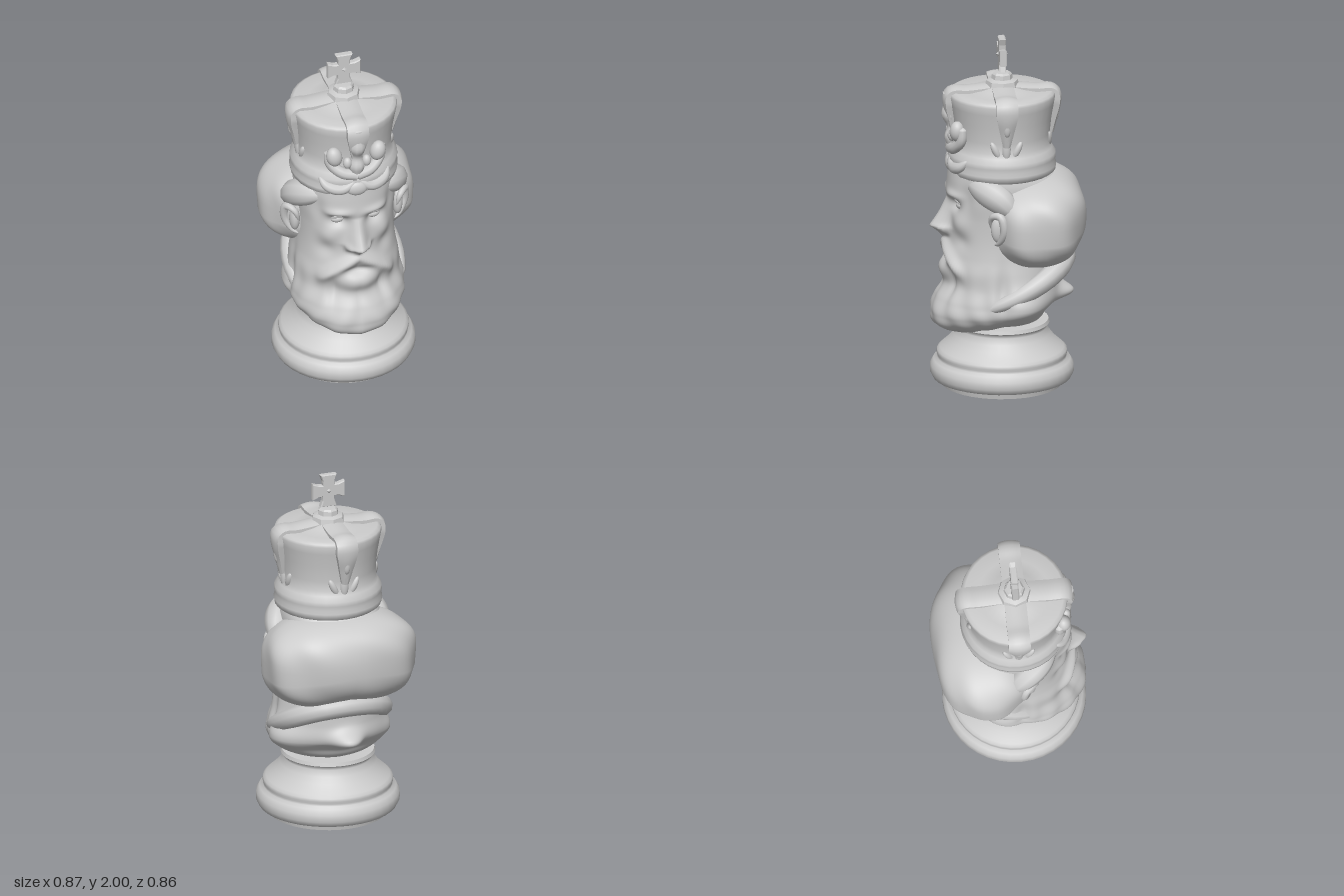
import * as THREE from 'three';
import { mergeVertices, toCreasedNormals } from 'three/addons/utils/BufferGeometryUtils.js';

const mat = new THREE.MeshStandardMaterial({ color: 0xcccccc });
const { sin, cos, abs, PI, pow, exp, min, max, sign } = Math;
const v = (x, y, z) => new THREE.Vector3(x, y, z);

function add(parent, name, geo) {
  const m = new THREE.Mesh(geo, mat);
  m.name = name;
  parent.add(m);
  return m;
}

// Move every vertex by a rule, then weld and smooth
function shape(geo, rule) {
  const p = geo.attributes.position, q = v(0, 0, 0);
  for (let i = 0; i < p.count; i++) {
    rule(q.fromBufferAttribute(p, i), i);
    p.setXYZ(i, q.x, q.y, q.z);
  }
  geo.deleteAttribute('uv');
  geo.deleteAttribute('normal');
  geo = mergeVertices(geo, 1e-5);
  geo.computeVertexNormals();
  return geo;
}

const lathe = (pts, seg, crease) => toCreasedNormals(
  new THREE.LatheGeometry(pts.map(([r, y]) => new THREE.Vector2(r, y)), seg), crease);

// Tube that swells and tapers along its path
function lock(pts, r, profile = (u) => pow(sin(PI * u), 0.6)) {
  const n = 24, m = 10, curve = new THREE.CatmullRomCurve3(pts.map((p) => v(...p)));
  return shape(new THREE.TubeGeometry(curve, n, r, m), (q, i) => {
    const u = Math.floor(i / (m + 1)) / n, c = curve.getPointAt(u);
    q.sub(c).multiplyScalar(max(0.002, profile(u))).add(c);
  });
}

function blob(parent, name, [x, y, z], [a, b, c], tilt = 0) {
  const m = add(parent, name, new THREE.SphereGeometry(1, 20, 14));
  m.position.set(x, y, z);
  m.scale.set(a, b, c);
  m.rotation.z = tilt;
}

// Head sections: height, then front, side and back reach
const rows = [
  [0.315, 0.27, 0.16, 0.17], [0.345, 0.36, 0.24, 0.21], [0.43, 0.4, 0.32, 0.25],
  [0.52, 0.37, 0.325, 0.31], [0.61, 0.315, 0.31, 0.31], [0.7, 0.325, 0.3, 0.31],
  [0.78, 0.31, 0.285, 0.32], [0.88, 0.3, 0.275, 0.34], [1.0, 0.295, 0.275, 0.36],
  [1.1, 0.31, 0.28, 0.36], [1.2, 0.305, 0.28, 0.32], [1.26, 0.3, 0.27, 0.25],
];
const sections = new THREE.CubicInterpolant(
  rows.map((r) => r[0]), rows.flatMap((r) => r.slice(1)), 3, new Float32Array(3));

const bump = (a, y, a0, y0, sa, sy) => exp(-(((a - a0) / sa) ** 2) - ((y - y0) / sy) ** 2);

function headRadius(t, y) {
  const [front, side, back] = sections.evaluate(y);
  const n = 2.1, a = abs(t), c = cos(t);
  let r = pow(pow(abs(sin(t)) / side, n) + pow(abs(c) / (c > 0 ? front : back), n), -1 / n);
  // Sockets, brows, cheeks
  r += -0.045 * bump(a, y, 0.36, 1.07, 0.18, 0.04) + 0.02 * bump(a, y, 0.36, 1.125, 0.22, 0.025);
  r += 0.018 * bump(a, y, 0.55, 0.97, 0.2, 0.06) - 0.015 * bump(a, y, 0.6, 0.87, 0.2, 0.05);
  r -= 0.015 * bump(a, y, 0.75, 1.12, 0.15, 0.08);
  // Nose: ramps out from the bridge and cuts in below the tip
  const ramp = y > 0.92 ? max(0, 1 - (y - 0.92) / 0.17) : max(0, 1 - (0.92 - y) / 0.065);
  r += 0.11 * ramp * exp(-((a / (0.1 + 0.07 * ramp)) ** 2));
  r += 0.03 * bump(a, y, 0.17, 0.905, 0.06, 0.025);
  // Moustache sweeping down to both sides
  r += 0.036 * exp(-(((y - 0.835 + 0.2 * a) / 0.042) ** 2)) * min(1, max(0, (0.8 - a) / 0.3));
  // Mouth and rounded chin tuft
  r += -0.022 * bump(a, y, 0, 0.745, 0.22, 0.025) + 0.03 * bump(a, y, 0, 0.665, 0.32, 0.06);
  // Soft beard strands, parted beside the chin
  const beard = max(0, min(1, (0.75 - y) / 0.15)) * max(0, min(1, (1.5 - a) / 0.3));
  r += beard * 0.004 * sin(a * 15 + y * 9 + sin(y * 14));
  r -= 0.02 * bump(a, y, 0.45, 0.62, 0.09, 0.1);
  // Gap between beard and coat, shoulder and coat folds
  r -= 0.025 * bump(a, y, 1.5, 0.57, 0.12, 0.15);
  r += 0.05 * bump(t, y, 1.85, 0.52, 0.4, 0.1) + 0.02 * bump(t, y, -1.95, 0.5, 0.3, 0.07);
  r += 0.09 * bump(a, y, PI, 0.52, 0.25, 0.055);
  return r;
}

// The lower edge rises from the beard tip to the neck
const edgeLift = (t) => 0.055 * min(1, 1 - cos(t));

function buildHead(g) {
  add(g, 'headAndBeard', shape(new THREE.CylinderGeometry(1, 1, 1, 128, 110, true), (q) => {
    const t = Math.atan2(q.x, q.z), k = q.y + 0.5;
    const y = 0.315 + 0.945 * k, r = headRadius(t, y);
    q.set(r * sin(t), y + edgeLift(t) * max(0, 1 - k * 5), r * cos(t));
  }));
  add(g, 'beardUnderside', shape(new THREE.CircleGeometry(1, 128).rotateX(PI / 2), (q) => {
    const t = Math.atan2(q.x, q.z), d = Math.hypot(q.x, q.z), r = d * headRadius(t, 0.315);
    q.set(r * sin(t), 0.315 + (d > 0.5 ? edgeLift(t) : 0.03), r * cos(t));
  }));

  // Thick mass of hair around the back and sides, hanging lower beside the ears
  const pw = (c, e) => sign(c) * pow(abs(c), e);
  add(g, 'hair', shape(new THREE.SphereGeometry(1, 64, 44), (q) => {
    const t = Math.atan2(q.x, q.z), w = 1 + 0.02 * sin(t * 7 + q.y * 4) * (1 - q.y * q.y);
    const taper = q.y < 0 ? 1 + 0.1 * q.y : 1;
    const droop = q.y < 0 ? 0.05 * abs(q.x) : 0;
    q.set(0.435 * pw(q.x, 0.85) * w * taper, 0.985 + 0.255 * pw(q.y, 0.72) - droop,
      -0.175 + 0.285 * pw(q.z, 0.85) * w * taper);
  }));

  for (const s of [-1, 1]) {
    blob(g, 'eyeball', [s * 0.1, 1.068, 0.237], [0.042, 0.026, 0.03]);
    add(g, 'upperEyelid', lock([[s * 0.045, 1.065, 0.25], [s * 0.1, 1.094, 0.26],
      [s * 0.155, 1.063, 0.222]], 0.013));
    add(g, 'templeLock', lock([[s * 0.15, 1.21, 0.21], [s * 0.225, 1.185, 0.125],
      [s * 0.285, 1.135, 0.03], [s * 0.33, 1.04, -0.06]], 0.08));
    // Ear: curled rim, inner bowl and lobe
    add(g, 'earRim', lock([[s * 0.28, 0.98, 0.09], [s * 0.305, 1.05, 0.085], [s * 0.34, 1.06, 0.04],
      [s * 0.345, 0.98, 0.02], [s * 0.31, 0.9, 0.045], [s * 0.275, 0.88, 0.07]], 0.024));
    blob(g, 'earBowl', [s * 0.295, 0.98, 0.05], [0.03, 0.08, 0.04]);
  }
}

function buildCollar(g) {
  // Rolled collar, high at the nape and falling to both sides
  const path = [], sq = (c) => sign(c) * pow(abs(c), 0.85);
  for (let i = -4; i <= 4; i++) {
    const t = PI + i * 0.48;
    path.push([0.015 + 0.3 * sq(sin(t)), 0.56 - 0.185 * cos(t), 0.335 * sq(cos(t)) - 0.01]);
  }
  add(g, 'collar', lock(path, 0.064, (u) => pow(sin(PI * u), 0.35)));
}

function buildBase(g) {
  add(g, 'base', lathe([[0, 0], [0.335, 0], [0.34, 0.025], [0.385, 0.04], [0.4, 0.07], [0.398, 0.11],
    [0.38, 0.14], [0.36, 0.152], [0.358, 0.165], [0.363, 0.178], [0.36, 0.195], [0.345, 0.208],
    [0.325, 0.226], [0.295, 0.255], [0.268, 0.29], [0.25, 0.325], [0.25, 0.338], [0.264, 0.35],
    [0.258, 0.37], [0, 0.372]], 40, 0.95));
}

// Strap bent over the rim of the crown, wide on top and narrow below
function strapGeometry() {
  const curve = new THREE.CatmullRomCurve3([[0.07, 1.712], [0.2, 1.7], [0.27, 1.702], [0.301, 1.68],
    [0.303, 1.62], [0.282, 1.53], [0.264, 1.45]].map(([r, y]) => v(0, y, r)));
  return toCreasedNormals(shape(new THREE.BoxGeometry(1, 1, 1, 6, 1, 28), (q) => {
    const u = q.z + 0.5, c = curve.getPointAt(u), d = curve.getTangentAt(u);
    const w = u < 0.6 ? 0.122 : 0.122 - 0.2 * (u - 0.6);
    const h = q.y * 0.04 + (q.y > 0 ? 0.012 * (1 - 4 * q.x * q.x) - 0.006 : 0);
    q.set(q.x * w, c.y + d.z * h, c.z - d.y * h);
  }), 0.7);
}

function buildCrown(g) {
  add(g, 'crownBody', lathe([[0, 1.232], [0.28, 1.232], [0.297, 1.245], [0.302, 1.275], [0.294, 1.295],
    [0.3, 1.32], [0.298, 1.345], [0.278, 1.375], [0.266, 1.4], [0.266, 1.46], [0.276, 1.55],
    [0.29, 1.63], [0.298, 1.675], [0.294, 1.69], [0.275, 1.7], [0.2, 1.695], [0.13, 1.71],
    [0.09, 1.725], [0, 1.73]], 32, 0.9));
  const strap = strapGeometry();
  for (let i = 0; i < 4; i++) {
    const side = new THREE.Group();
    side.name = 'crownSide';
    side.rotation.y = i * PI / 2;
    g.add(side);
    add(side, 'strap', strap);
    if (i === 0) continue;
    // Small leaf ornament below each plain strap
    blob(side, 'bead', [0, 1.57, 0.298], [0.024, 0.06, 0.022]);
    blob(side, 'leafStem', [0, 1.43, 0.262], [0.024, 0.07, 0.018]);
    for (const s of [-1, 1]) {
      blob(side, 'leaf', [s * 0.06, 1.42, 0.252], [0.02, 0.055, 0.02], s * -0.45);
    }
  }
  // Large front ornament: wavy stem, two curled arms and a knot on the band
  add(g, 'ornamentStem', lock([[0, 1.7, 0.285], [0, 1.6, 0.295], [0, 1.47, 0.275], [0, 1.34, 0.28]], 0.045,
    (u) => (u < 0.02 || u > 0.98 ? 0 : 0.85 + 0.2 * cos(u * 17))));
  for (const s of [-1, 1]) {
    add(g, 'ornamentArm', lock([[0, 1.37, 0.28], [s * 0.08, 1.39, 0.272], [s * 0.145, 1.45, 0.24],
      [s * 0.15, 1.53, 0.235]], 0.036, (u) => (u > 0.98 ? 0 : 1 - 0.3 * u)));
    blob(g, 'ornamentCurl', [s * 0.125, 1.5, 0.262], [0.045, 0.06, 0.042], s * -0.2);
    blob(g, 'ornamentBead', [s * 0.055, 1.46, 0.283], [0.025, 0.035, 0.025]);
    add(g, 'ornamentScroll', lock([[0, 1.34, 0.285], [s * 0.08, 1.285, 0.278], [s * 0.16, 1.3, 0.25],
      [s * 0.2, 1.35, 0.21]], 0.034));
  }
  blob(g, 'ornamentKnot', [0, 1.285, 0.29], [0.06, 0.045, 0.028]);
}

function buildFinial(g) {
  add(g, 'finialFoot', lathe([[0.13, 1.69], [0.095, 1.725], [0.088, 1.755], [0.06, 1.765], [0.056, 1.79],
    [0.045, 1.8], [0, 1.803]], 8, 0.4));
  // Cross with flared arms, thickest in the middle
  const arm = [[0.033, 0.033], [0.035, 0.06], [0.047, 0.094], [-0.047, 0.094], [-0.035, 0.06]];
  const pts = [];
  for (let i = 0; i < 4; i++) {
    const c = cos(i * PI / 2), s = sin(i * PI / 2);
    for (const [x, y] of arm) pts.push(new THREE.Vector2(x * c - y * s, x * s + y * c));
  }
  const geo = new THREE.ExtrudeGeometry(new THREE.Shape(pts),
    { depth: 0.026, bevelThickness: 0.007, bevelSize: 0.005, bevelOffset: -0.004, bevelSegments: 1 });
  geo.translate(0, 1.905, -0.013);
  add(g, 'cross', geo);
  const boss = add(g, 'crossBoss', toCreasedNormals(new THREE.OctahedronGeometry(0.034), 0.3));
  boss.position.y = 1.905;
}

export function createModel() {
  const model = new THREE.Group(), piece = new THREE.Group();
  model.name = 'kingChessPiece';
  piece.name = 'turnedPiece';
  piece.position.set(-0.02, 0, 0.03);
  piece.rotation.y = -0.11;
  model.add(piece);
  for (const build of [buildBase, buildHead, buildCollar, buildCrown, buildFinial]) build(piece);
  return model;
}
